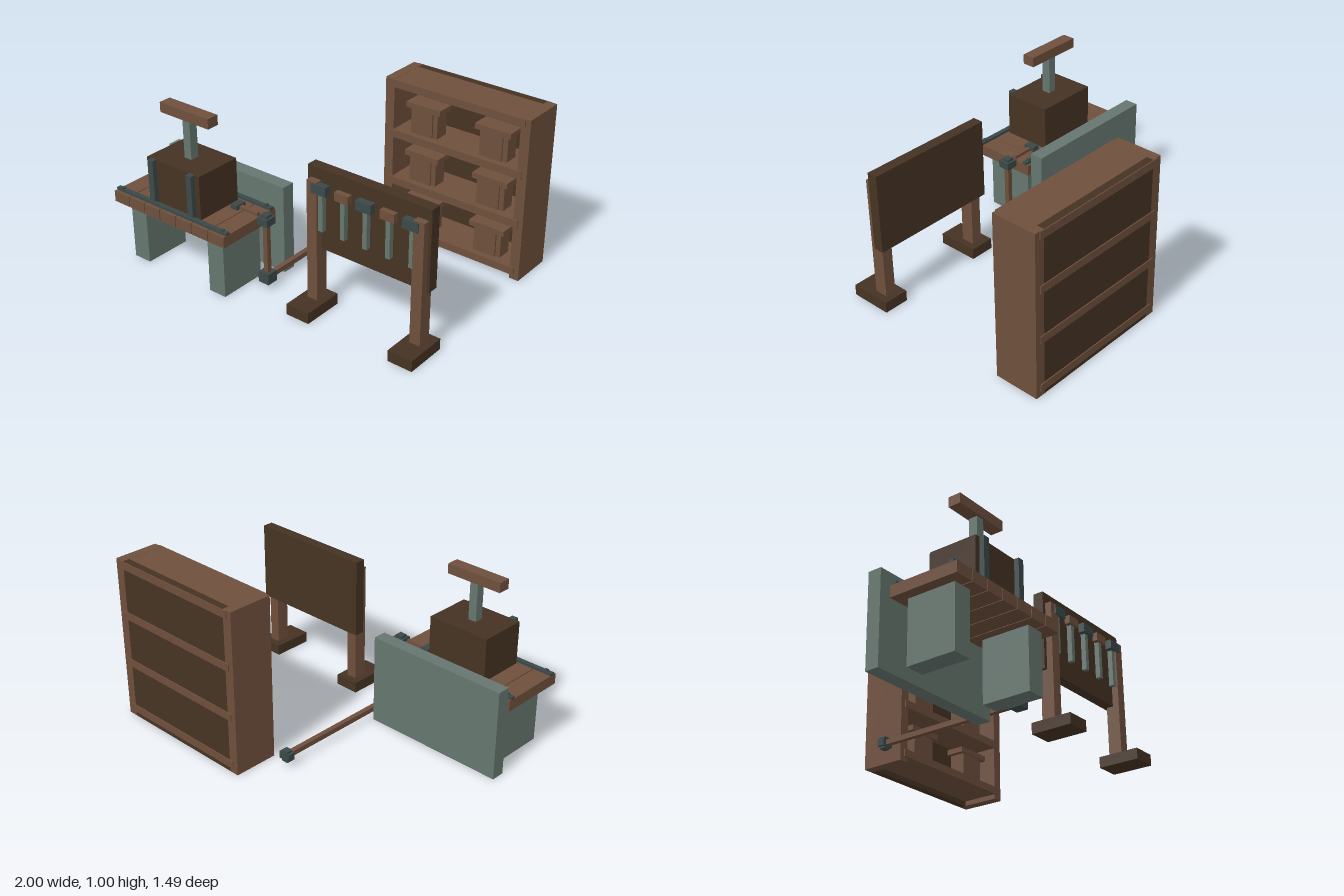
import * as THREE from 'three';

function material(name, color) {
  const m = new THREE.MeshStandardMaterial({ color });
  m.name = name;
  return m;
}

export function createModel() {
  const wood = material('warm wood', 0x6e4f3c);
  const dark = material('dark wood', 0x453323);
  const stone = material('grey green stone', 0x66766f);
  const steel = material('dark steel', 0x3b4848);

  const root = new THREE.Group();
  root.name = 'workshop';
  const group = (name) => {
    const g = new THREE.Group();
    g.name = name;
    root.add(g);
    return g;
  };
  // Box given by its extents along each axis
  const box = (parent, name, mat, [x0, x1], [y0, y1], [z0, z1]) => {
    const mesh = new THREE.Mesh(new THREE.BoxGeometry(x1 - x0, y1 - y0, z1 - z0), mat);
    mesh.position.set((x0 + x1) / 2, (y0 + y1) / 2, (z0 + z1) / 2);
    mesh.name = name;
    parent.add(mesh);
  };

  // Bookcase with four boards that stand slightly proud front and back
  const shelf = group('shelfUnit');
  box(shelf, 'leftSide', wood, [0.915, 0.975], [0, 1], [-0.742, -0.468]);
  box(shelf, 'rightSide', wood, [0.025, 0.085], [0, 1], [-0.742, -0.468]);
  box(shelf, 'backPanel', dark, [0.085, 0.915], [0, 1], [-0.742, -0.7]);
  for (const y of [0.03, 0.335, 0.64, 0.953]) {
    box(shelf, 'shelfBoard', wood, [0.056, 0.944], [y, y + 0.046], [-0.748, -0.46]);
  }
  // Capped blocks standing on the shelves
  for (const y of [0.076, 0.381, 0.686]) {
    for (const x of [0.27, 0.732]) {
      box(shelf, 'blockBody', wood, [x - 0.085, x + 0.06], [y, y + 0.155], [-0.6, -0.5]);
      box(shelf, 'blockSide', wood, [x + 0.06, x + 0.09], [y, y + 0.155], [-0.6, -0.51]);
      box(shelf, 'blockCap', wood, [x - 0.115, x + 0.115], [y + 0.155, y + 0.188], [-0.605, -0.49]);
    }
  }

  // Tool rack
  const rack = group('toolRack');
  box(rack, 'rackBoard', dark, [0.19, 0.973], [0.378, 0.855], [0.368, 0.432]);
  for (const x of [0.245, 0.923]) {
    box(rack, 'rackFoot', dark, [x - 0.076, x + 0.076], [0, 0.066], [0.348, 0.6]);
    box(rack, 'rackPost', wood, [x - 0.033, x + 0.033], [0.066, 0.788], [0.39, 0.472]);
  }
  for (let i = 0; i < 5; i++) {
    const x = 0.295 + i * 0.145;
    const iron = i % 2 === 0;
    const w = iron ? 0.048 : 0.045;
    box(rack, 'hangingToolHandle', stone, [x - 0.014, x + 0.014], [0.5, 0.73], [0.432, 0.462]);
    box(rack, 'hangingToolHead', iron ? steel : wood, [x - w, x + w],
      [0.725, iron ? 0.78 : 0.775], [0.44, iron ? 0.48 : 0.474]);
  }

  // Workbench: seven planks on two slab legs, tied by steel strips
  const bench = group('workbench');
  for (let i = 0; i < 7; i++) {
    const x = -0.98 + i * 0.1212;
    box(bench, 'benchPlank', wood, [x, x + 0.116], [0.367, 0.433], [0.328, 0.747]);
  }
  for (const x of [-0.858, -0.262]) {
    box(bench, 'benchLeg', stone, [x - 0.058, x + 0.058], [0, 0.367], [0.39, 0.685]);
  }
  for (const z of [0.356, 0.713]) {
    box(bench, 'benchStrip', steel, [-0.98, -0.137], [0.43, 0.448], [z - 0.014, z + 0.014]);
    for (const x of [-0.94, -0.175]) {
      box(bench, 'stripBolt', steel, [x - 0.01, x + 0.01], [0.448, 0.457], [z - 0.01, z + 0.01]);
    }
  }
  box(bench, 'smallHammerHead', steel, [-0.327, -0.28], [0.433, 0.461], [0.415, 0.485]);
  box(bench, 'smallHammerHandle', wood, [-0.28, -0.15], [0.433, 0.452], [0.438, 0.462]);

  const wall = group('lowWall');
  box(wall, 'wallSlab', stone, [-1, -0.115], [0, 0.545], [0.2, 0.282]);

  // Chest with straps and a T-shaped lever
  const press = group('benchChest');
  box(press, 'chestBody', dark, [-0.755, -0.36], [0.433, 0.698], [0.39, 0.685]);
  for (const x of [-0.703, -0.412]) {
    box(press, 'chestStrap', steel, [x - 0.02, x + 0.02], [0.433, 0.699], [0.68, 0.714]);
  }
  box(press, 'leverPost', stone, [-0.584, -0.532], [0.698, 0.935], [0.51, 0.564]);
  box(press, 'leverBar', wood, [-0.74, -0.38], [0.933, 0.993], [0.5, 0.576]);

  // Upright and floor rail joined by steel blocks
  const rail = group('rail');
  const x = -0.095;
  box(rail, 'railUpright', wood, [x - 0.015, x + 0.015], [0.09, 0.4], [0.435, 0.465]);
  box(rail, 'railBeam', wood, [x - 0.015, x + 0.015], [0.05, 0.08], [-0.47, 0.43]);
  box(rail, 'topJoint', steel, [x - 0.036, x + 0.036], [0.403, 0.447], [0.415, 0.487]);
  box(rail, 'topJointCore', steel, [x - 0.022, x + 0.022], [0.39, 0.462], [0.428, 0.472]);
  box(rail, 'cornerJoint', steel, [x - 0.036, x + 0.036], [0.035, 0.1], [0.415, 0.487]);
  box(rail, 'endJoint', steel, [x - 0.036, x + 0.036], [0.043, 0.087], [-0.505, -0.46]);
  box(rail, 'endJointCore', steel, [x - 0.022, x + 0.022], [0.03, 0.1], [-0.502, -0.463]);

  return root;
}
